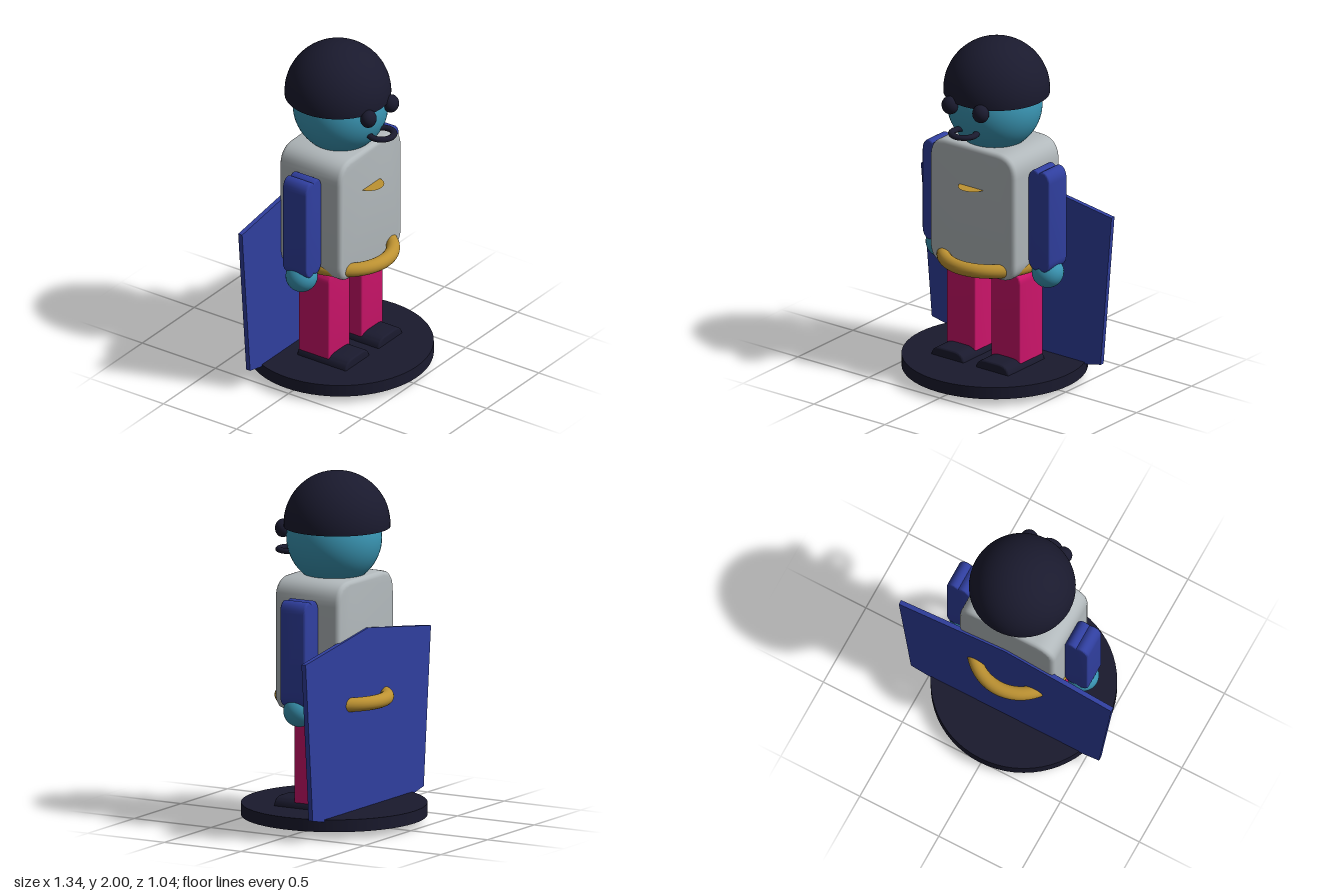
import * as THREE from 'three';
import { toCreasedNormals } from 'three/addons/utils/BufferGeometryUtils.js';

const mat = (name, color) => new THREE.MeshStandardMaterial({ name, color });

// Upright rectangle with rounded upper and lower corners, centred on x = 0
function roundedRect(w, y0, y1, rTop, rBottom) {
  const h = w / 2, s = new THREE.Shape();
  s.moveTo(-h + rBottom, y0);
  s.lineTo(h - rBottom, y0);
  if (rBottom) s.quadraticCurveTo(h, y0, h, y0 + rBottom);
  s.lineTo(h, y1 - rTop);
  s.quadraticCurveTo(h, y1, h - rTop, y1);
  s.lineTo(-h + rTop, y1);
  s.quadraticCurveTo(-h, y1, -h, y1 - rTop);
  s.lineTo(-h, y0 + rBottom);
  if (rBottom) s.quadraticCurveTo(-h, y0, -h + rBottom, y0);
  return s;
}

// Sleeve outline with two small lobes at each end
function sleeveShape() {
  const h = 0.075, s = new THREE.Shape();
  s.moveTo(h, 0.79);
  s.lineTo(h, 1.26);
  s.bezierCurveTo(h, 1.31, 0.035, 1.345, 0, 1.312);
  s.bezierCurveTo(-0.035, 1.345, -h, 1.31, -h, 1.26);
  s.lineTo(-h, 0.79);
  s.bezierCurveTo(-h, 0.74, -0.035, 0.705, 0, 0.738);
  s.bezierCurveTo(0.035, 0.705, h, 0.74, h, 0.79);
  return s;
}

// Extrusion along z from z0 to z1, with a bevel kept inside the outline
function slab(shape, z0, z1, bevel) {
  const geo = new THREE.ExtrudeGeometry(shape, {
    depth: z1 - z0 - 2 * bevel, curveSegments: 10,
    bevelEnabled: bevel > 0, bevelSize: bevel, bevelThickness: bevel,
    bevelOffset: -bevel, bevelSegments: 3,
  });
  geo.translate(0, 0, z0 + bevel);
  return toCreasedNormals(geo, 0.6);
}

export function createModel() {
  const model = new THREE.Group();
  model.name = 'figurine';

  const dark = mat('dark navy', 0x1a1a2e);
  dark.side = THREE.DoubleSide; // the hair is an open shell
  const skin = mat('teal skin', 0x3a96b4);
  const grey = mat('light grey', 0xb2b9bc);
  const blue = mat('royal blue', 0x303f9f);
  const pink = mat('magenta', 0xcc146a);
  const gold = mat('gold', 0xbd9232);

  const add = (name, geo, material, x = 0, y = 0, z = 0) => {
    const mesh = new THREE.Mesh(geo, material);
    mesh.name = name;
    mesh.position.set(x, y, z);
    model.add(mesh);
    return mesh;
  };

  // Stand
  add('base', new THREE.CylinderGeometry(0.52, 0.52, 0.07, 64), dark, 0, 0.083, 0);

  // Cape: thin flat panel behind the body
  const cape = new THREE.Shape([
    [0, 0.005], [0.595, 0.13], [0.672, 1.03], [0, 1.13], [-0.672, 1.03], [-0.595, 0.13],
  ].map(([x, y]) => new THREE.Vector2(x, y)));
  add('cape', slab(cape, -0.222, -0.195, 0), blue);

  // Torso, oval belt and chest ornament
  add('torso', slab(roundedRect(0.6, 0.665, 1.42, 0.13, 0.11), -0.21, 0.21, 0.025), grey);
  const belt = add('belt', new THREE.TorusGeometry(0.3, 0.04, 20, 72), gold, 0, 0.723, 0);
  belt.rotation.x = Math.PI / 2;
  belt.scale.x = 0.925;
  const ornament = add('chestOrnament', new THREE.CircleGeometry(0.085, 32), gold, 0, 1.18, 0.195);
  ornament.rotation.x = -Math.PI / 2;

  // Head and open hair cap
  add('head', new THREE.SphereGeometry(0.267, 48, 32), skin, 0, 1.622, 0);
  add('hair', new THREE.SphereGeometry(0.298, 48, 24, 0, Math.PI * 2, 0, Math.PI * 0.518),
    dark, 0, 1.702, -0.018);

  // Mouth: a ring partly sunk into the face
  const mouth = add('mouth', new THREE.TorusGeometry(0.07, 0.019, 14, 48), dark, 0, 1.526, 0.28);
  mouth.rotation.x = Math.PI / 2;
  mouth.scale.z = 0.84;

  // Paired parts; left is +x
  for (const [side, s] of [['left', 1], ['right', -1]]) {
    const eye = add(side + 'Eye', new THREE.SphereGeometry(0.05, 24, 16), dark, s * 0.108, 1.665, 0.268);
    eye.scale.set(0.98, 1.04, 0.88);
    add(side + 'Arm', slab(sleeveShape(), -0.08, 0.084, 0.01), blue, s * 0.373);
    add(side + 'Hand', new THREE.SphereGeometry(0.09, 28, 20), skin, s * 0.374, 0.698, 0);
    add(side + 'Leg', slab(roundedRect(0.204, 0.12, 0.68, 0.06, 0), -0.105, 0.107, 0.01), pink, s * 0.158);
    add(side + 'Shoe', slab(roundedRect(0.235, 0.06, 0.17, 0.075, 0), -0.105, 0.23, 0.01), dark, s * 0.158);
  }
  return model;
}
